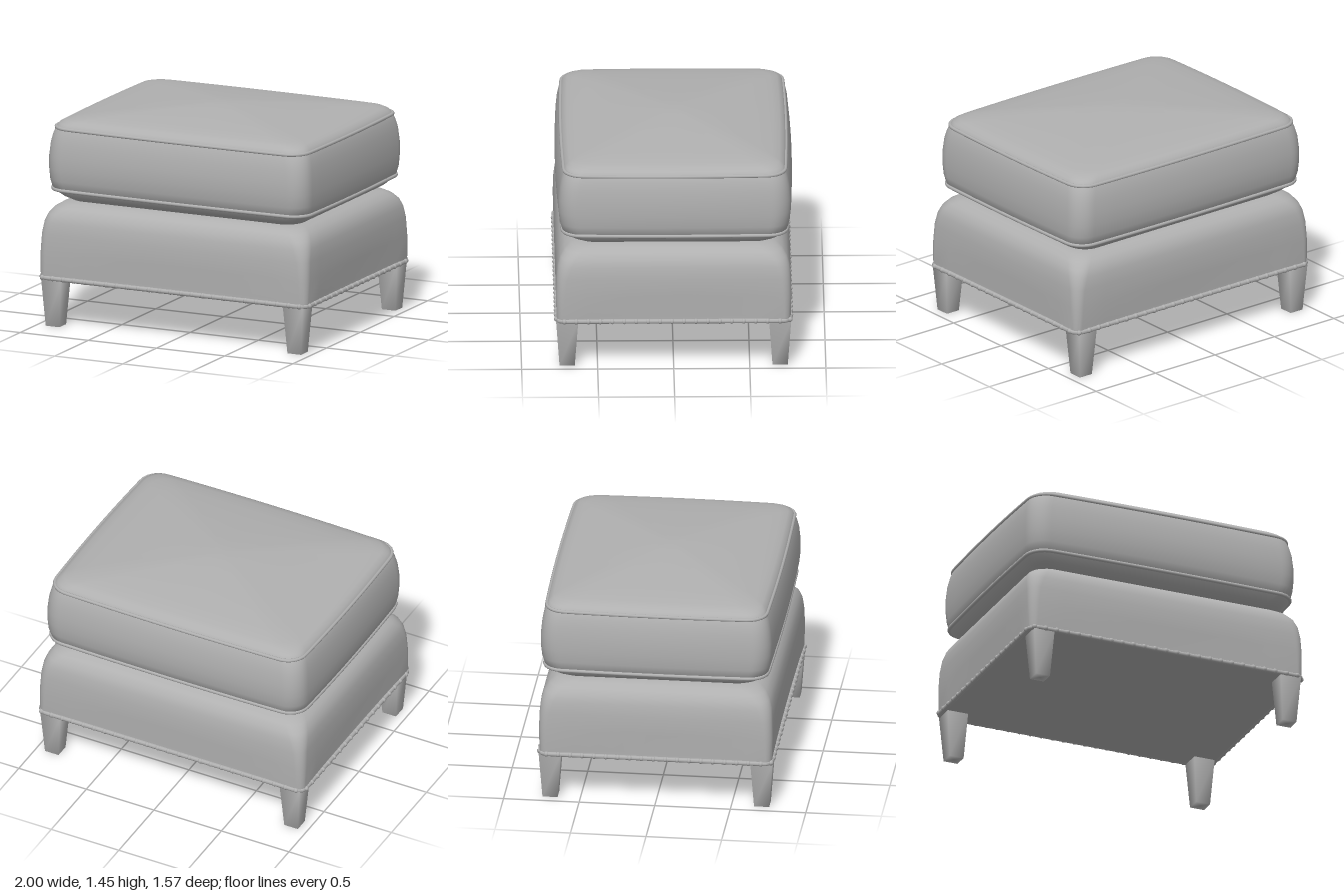
import * as THREE from 'three';
import { mergeGeometries, mergeVertices, toCreasedNormals } from 'three/addons/utils/BufferGeometryUtils.js';

// Rounded rectangle at height y; bow swells (or hollows) the middle of each side
function ring([y, hx, hz, r, bow = 0]) {
  const pts = [], arc = 8, side = 10;
  for (let q = 0; q < 4; q++) {
    const sx = q === 0 || q === 3 ? 1 : -1, sz = q < 2 ? 1 : -1;
    for (let i = 0; i <= arc; i++) {
      const a = (q + i / arc) * Math.PI / 2;
      pts.push(new THREE.Vector3(sx * (hx - r) + r * Math.cos(a), y, sz * (hz - r) + r * Math.sin(a)));
    }
    // straight run to the next corner
    const n = (q + 1) * Math.PI / 2, nx = Math.round(Math.cos(n)), nz = Math.round(Math.sin(n));
    const start = pts[pts.length - 1];
    const end = new THREE.Vector3(nx ? start.x : -start.x, y, nz ? start.z : -start.z);
    if (nx) end.z = -start.z;
    for (let i = 1; i < side; i++) {
      const t = i / side, out = bow * (1 - (2 * t - 1) ** 2);
      const p = start.clone().lerp(end, t);
      p.x += nx * out;
      p.z += nz * out;
      pts.push(p);
    }
  }
  return pts;
}

// Closed skin over a stack of rings, bottom to top
function loft(sections, crease, topY) {
  const rings = sections.map(ring), n = rings[0].length, pos = [], index = [];
  rings.flat().forEach(p => pos.push(p.x, p.y, p.z));
  const bottom = rings.length * n, top = bottom + 1, last = bottom - n;
  pos.push(0, sections[0][0], 0, 0, topY, 0);
  for (let i = 0; i < n; i++) {
    const j = (i + 1) % n;
    for (let k = 0; k < rings.length - 1; k++) {
      const a = k * n + i, c = k * n + j;
      index.push(a, a + n, c, c, a + n, c + n);
    }
    index.push(bottom, i, j, top, last + j, last + i);
  }
  const g = new THREE.BufferGeometry();
  g.setAttribute('position', new THREE.Float32BufferAttribute(pos, 3));
  g.setIndex(index);
  return toCreasedNormals(g, crease);
}

const loop = section => new THREE.CatmullRomCurve3(ring(section), true);

export function createModel() {
  const model = new THREE.Group();
  model.name = 'ottoman';
  const grey = new THREE.MeshStandardMaterial({ name: 'grey upholstery', color: 0xb0b0b0 });
  const add = (name, geometry, parent = model) => {
    const mesh = new THREE.Mesh(geometry, grey);
    mesh.name = name;
    parent.add(mesh);
    return mesh;
  };

  // Upholstered base with a softly rounded shoulder
  add('base', loft([
    [0.315, 0.98, 0.768, 0.05, -0.008],
    [0.36, 0.982, 0.77, 0.05, -0.012],
    [0.5, 0.984, 0.774, 0.06, 0],
    [0.62, 0.98, 0.77, 0.07, 0],
    [0.7, 0.972, 0.762, 0.09, 0],
    [0.75, 0.955, 0.745, 0.1, 0],
    [0.79, 0.925, 0.715, 0.11, 0],
    [0.815, 0.885, 0.675, 0.11, 0],
    [0.828, 0.84, 0.63, 0.11, 0],
    [0.832, 0.78, 0.57, 0.1, 0],
  ], 0.8, 0.834));

  // Nailhead trim around the lower edge
  const trimPath = loop([0.327, 0.977, 0.765, 0.05]);
  add('trimBand', new THREE.TubeGeometry(trimPath, 200, 0.016, 8, true));
  const nails = trimPath.getSpacedPoints(88).slice(0, 88).map(p => {
    const s = 1.005;
    return new THREE.SphereGeometry(0.018, 8, 6).translate(p.x * s, p.y + 0.001, p.z * s);
  });
  add('nailheads', mergeGeometries(nails));

  // Loose cushion: tapered underside, bulging sides, domed top
  const cushion = new THREE.Group();
  cushion.name = 'cushion';
  cushion.position.z = -0.008;
  model.add(cushion);
  const lowSeam = [0.917, 0.942, 0.738, 0.13, 0.01];
  const highSeam = [1.33, 0.922, 0.728, 0.13, 0.012];
  add('cushionBody', loft([
    [0.828, 0.76, 0.57, 0.1, 0],
    [0.836, 0.84, 0.645, 0.12, 0],
    [0.865, 0.89, 0.69, 0.13, 0.005],
    lowSeam,
    [0.98, 0.954, 0.755, 0.13, 0.012],
    [1.06, 0.958, 0.764, 0.13, 0.014],
    [1.14, 0.957, 0.764, 0.13, 0.014],
    [1.23, 0.949, 0.755, 0.13, 0.013],
    [1.29, 0.936, 0.742, 0.13, 0.012],
    highSeam,
    [1.357, 0.905, 0.715, 0.13, 0.012],
    [1.374, 0.875, 0.69, 0.13, 0.01],
    [1.387, 0.82, 0.645, 0.13, 0.01],
    [1.402, 0.7, 0.55, 0.12, 0.01],
    [1.42, 0.5, 0.4, 0.1, 0.02],
    [1.436, 0.3, 0.24, 0.08, 0.02],
    [1.449, 0.12, 0.1, 0.05, 0.01],
  ], 0.9, 1.453), cushion);

  // Piping along both cushion seams
  add('lowerPiping', new THREE.TubeGeometry(loop(lowSeam), 180, 0.013, 8, true), cushion);
  add('upperPiping', new THREE.TubeGeometry(loop(highSeam), 180, 0.012, 8, true), cushion);

  // Square tapered legs with softened shading
  const legGeometry = new THREE.CylinderGeometry(0.073 * Math.SQRT2, 0.05 * Math.SQRT2, 0.32, 4).rotateY(Math.PI / 4);
  legGeometry.deleteAttribute('normal');
  legGeometry.deleteAttribute('uv');
  const leg = mergeVertices(legGeometry);
  leg.computeVertexNormals();
  for (const [x, xName] of [[1, 'Left'], [-1, 'Right']]) {
    for (const [z, zName] of [[1, 'front'], [-1, 'back']]) {
      add(`${zName}${xName}Leg`, leg).position.set(x * 0.886, 0.16, z * 0.7);
    }
  }
  return model;
}
